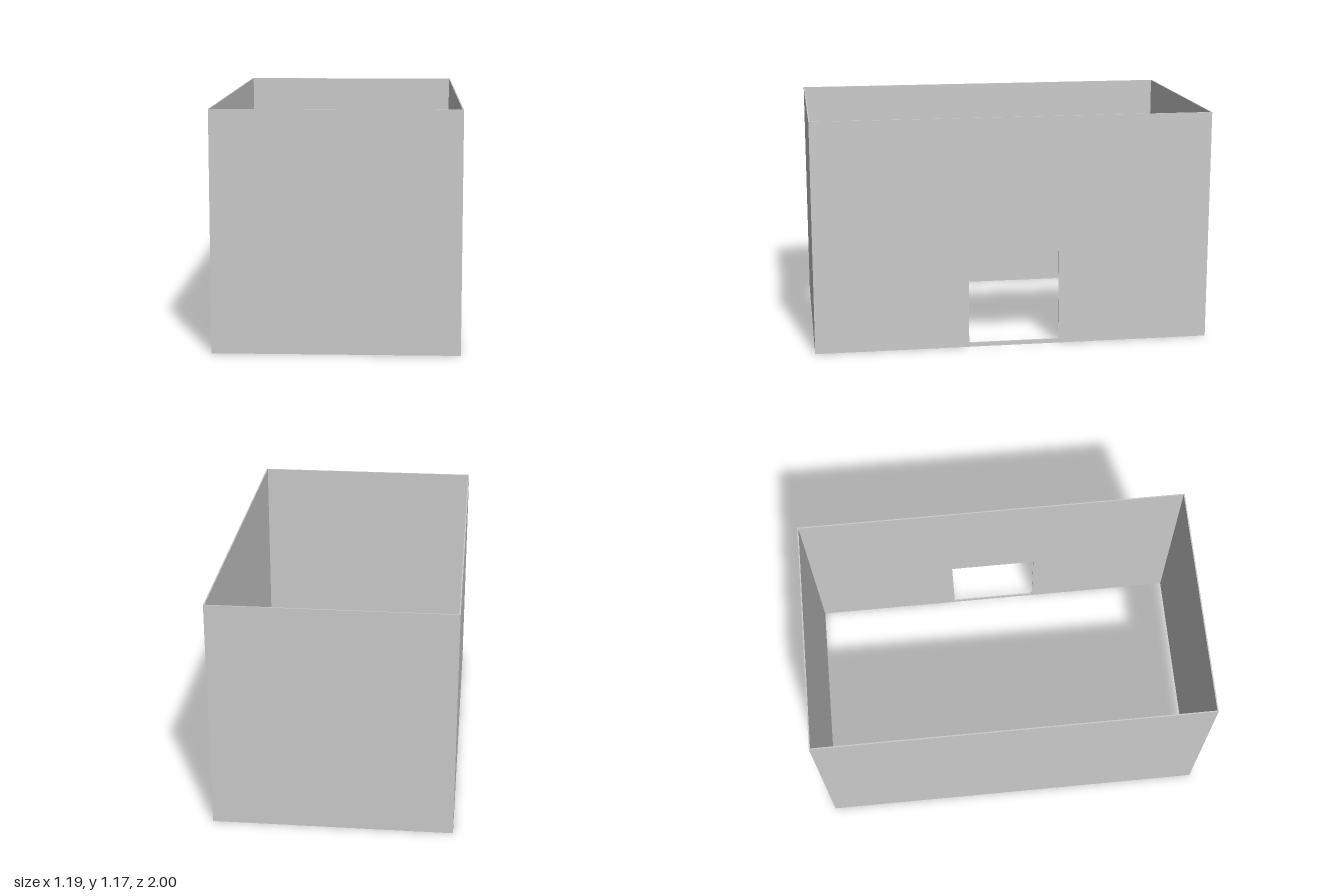
import * as THREE from 'three';

const HALF_W = 0.593, HALF_L = 1, H = 1.168, T = 0.006;

export function createModel() {
  const group = new THREE.Group();
  const material = new THREE.MeshStandardMaterial({ color: 0xcccccc });

  const add = (name, geometry, x, y, z) => {
    const mesh = new THREE.Mesh(geometry, material);
    mesh.name = name;
    mesh.position.set(x, y, z);
    group.add(mesh);
  };

  // Rectangle outline, symmetric about the middle
  const rect = (Type, half, bottom, top) => new Type([
    new THREE.Vector2(-half, bottom), new THREE.Vector2(half, bottom),
    new THREE.Vector2(half, top), new THREE.Vector2(-half, top),
  ]);

  // Front and back walls, fitted between the side walls
  const endWall = new THREE.BoxGeometry(2 * (HALF_W - T), H, T);
  add('frontWall', endWall, 0, H / 2, HALF_L - T / 2);
  add('backWall', endWall, 0, H / 2, -HALF_L + T / 2);

  // Plain long wall
  add('rightWall', new THREE.BoxGeometry(T, H, 2 * HALF_L), -HALF_W + T / 2, H / 2, 0);

  // Long wall with a doorway above a low sill
  const wall = rect(THREE.Shape, HALF_L, 0, H);
  wall.holes.push(rect(THREE.Path, 0.228, 0.022, 0.483));
  const doorWall = new THREE.ExtrudeGeometry(wall, { depth: T, bevelEnabled: false });
  doorWall.rotateY(Math.PI / 2);
  add('leftWallWithDoorway', doorWall, HALF_W - T, 0, 0);

  return group;
}
